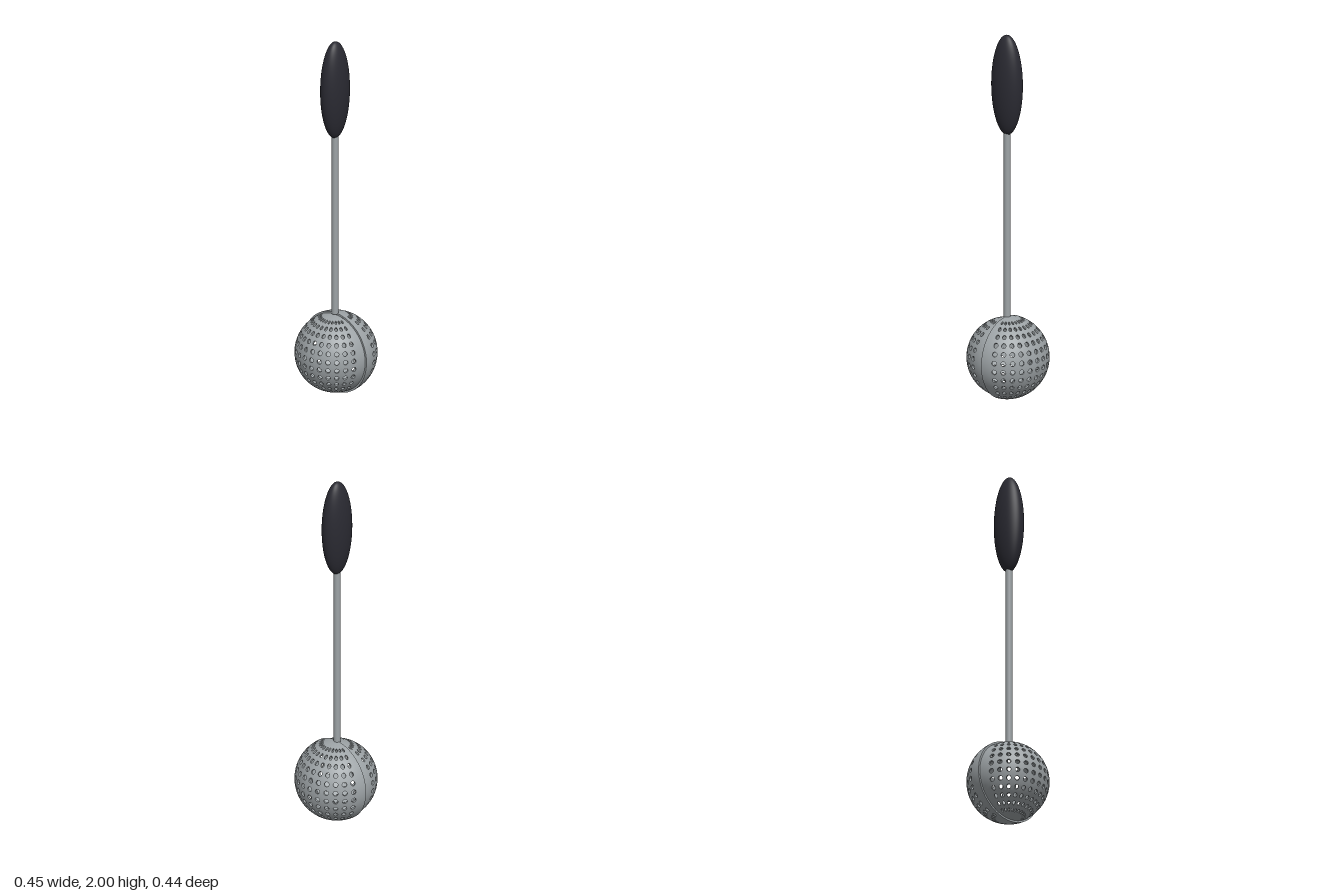
import * as THREE from 'three';
import { toCreasedNormals, mergeGeometries } from 'three/addons/utils/BufferGeometryUtils.js';

const steel = new THREE.MeshStandardMaterial({ color: 0x9da3a6 });
steel.name = 'brushed steel';
const black = new THREE.MeshStandardMaterial({ color: 0x2a2a32 });
black.name = 'black grip';

const RAD = Math.PI / 180;
const WALL = 0.01;
const CENTRE_Y = 0.225;
const CENTRE_Z = 0.003;
const HOLES = 12; // rows and columns of holes in each half
const HOLE_ANGLE = 3.4; // angular radius of a hole, in degrees
const STEPS = 16; // sides of a hole

// Angles of the cell edges: a solid margin, the hole cells, a solid margin
function cellEdges(spacing) {
  const edges = [-90];
  for (let i = 0; i <= HOLES; i++) edges.push((i - HOLES / 2) * spacing);
  edges.push(90);
  return edges;
}

// Thick half sphere facing +z, made of cells that each hold one hole
function perforatedHalf(radius) {
  const positions = [];
  const point = (lon, lat, r) => [
    r * Math.cos(lat * RAD) * Math.sin(lon * RAD),
    r * Math.sin(lat * RAD),
    r * Math.cos(lat * RAD) * Math.cos(lon * RAD),
  ];
  const quad = (a, b, c, d) => positions.push(...a, ...b, ...c, ...a, ...c, ...d);
  const lons = cellEdges(12.8);
  const lats = cellEdges(12.4);
  const inner = radius - WALL;

  for (let i = 0; i <= HOLES + 1; i++) {
    for (let j = 0; j <= HOLES + 1; j++) {
      const solid = i === 0 || j === 0 || i > HOLES || j > HOLES;
      const hole = solid ? 0 : HOLE_ANGLE;
      const lon = (lons[i] + lons[i + 1]) / 2;
      const lat = (lats[j] + lats[j + 1]) / 2;
      const w = (lons[i + 1] - lons[i]) / 2;
      const h = (lats[j + 1] - lats[j]) / 2;
      const rim = (k, r) => {
        const a = (k / STEPS) * Math.PI * 2;
        return point(lon + hole * Math.cos(a), lat + hole * Math.sin(a), r);
      };
      const border = (k, r) => {
        const a = (k / STEPS) * Math.PI * 2;
        const s = 1 / Math.max(Math.abs(Math.cos(a)), Math.abs(Math.sin(a)));
        return point(lon + w * s * Math.cos(a), lat + h * s * Math.sin(a), r);
      };
      for (let k = 0; k < STEPS; k++) {
        const n = (k + 1) % STEPS;
        quad(rim(k, radius), border(k, radius), border(n, radius), rim(n, radius));
        quad(rim(n, inner), border(n, inner), border(k, inner), rim(k, inner));
        if (!solid) quad(rim(k, inner), rim(k, radius), rim(n, radius), rim(n, inner));
      }
    }
  }
  const shell = new THREE.BufferGeometry();
  shell.setAttribute('position', new THREE.Float32BufferAttribute(positions, 3));

  // Flat lip closing the open edge
  const lip = new THREE.RingGeometry(inner, radius, 96).rotateY(Math.PI).toNonIndexed();
  lip.deleteAttribute('uv');
  lip.deleteAttribute('normal');
  return toCreasedNormals(mergeGeometries([shell, lip]), 0.6);
}

export function createModel() {
  const model = new THREE.Group();
  model.name = 'teaInfuser';
  const add = (name, geometry, material, y) => {
    const mesh = new THREE.Mesh(geometry, material);
    mesh.name = name;
    mesh.position.set(0, y, CENTRE_Z);
    model.add(mesh);
    return mesh;
  };

  // Ball: the smaller front half fits inside the edge of the back half
  add('frontHalf', perforatedHalf(0.215), steel, CENTRE_Y);
  add('backHalf', perforatedHalf(0.225), steel, CENTRE_Y).rotation.y = Math.PI;

  // Stem
  add('stem', new THREE.CylinderGeometry(0.018, 0.018, 1.03, 32), steel, 0.96);

  // Flattened oval grip
  const grip = new THREE.SphereGeometry(1, 64, 48).scale(0.065, 0.275, 0.093);
  add('grip', grip, black, 1.725);

  return model;
}
